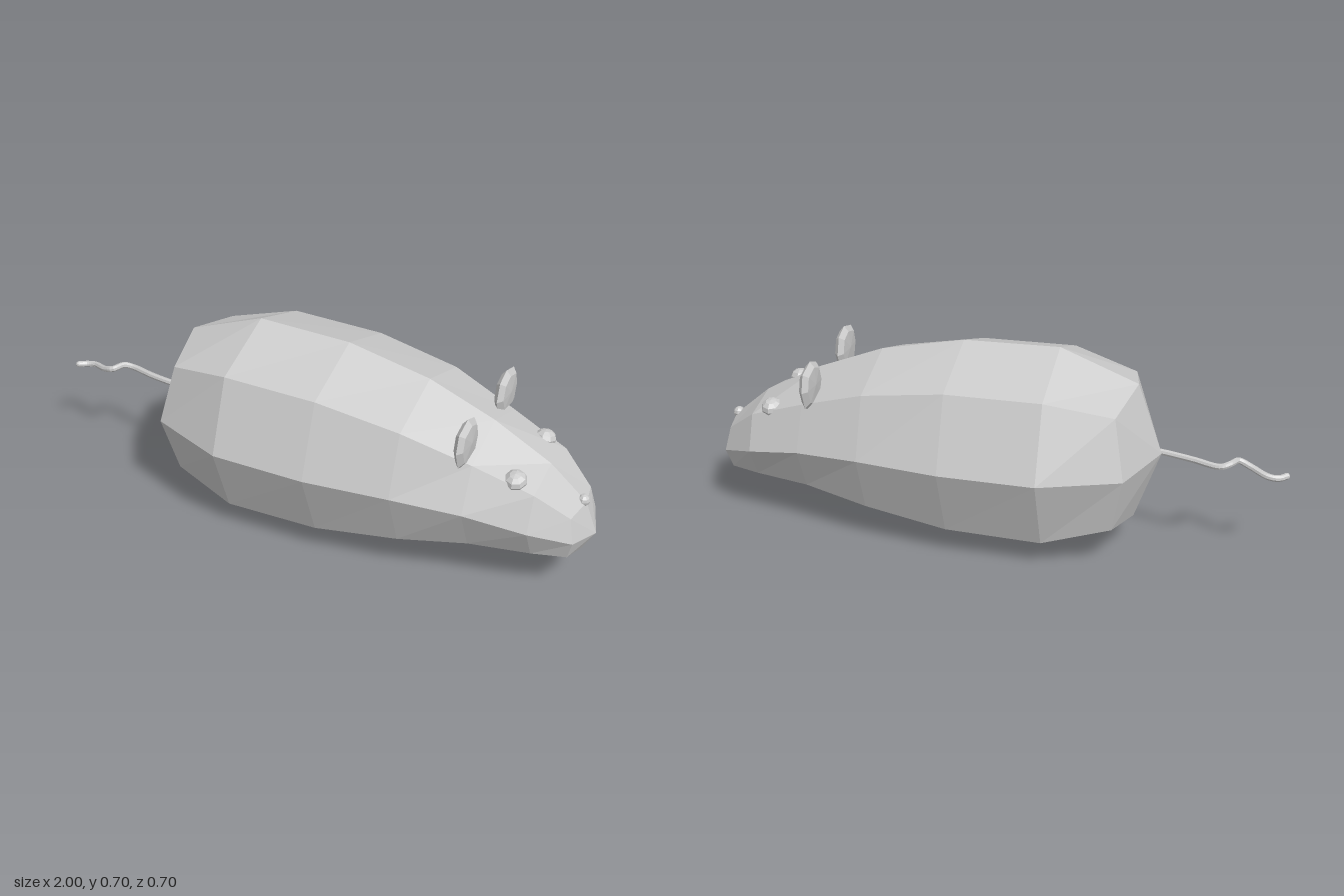
import * as THREE from 'three';

const material = new THREE.MeshStandardMaterial({ color: 0xcccccc, flatShading: true });

// Skin closed rings of [x, y, z] running towards +x, with a point at each end
function loft(rings, start, end) {
  const n = rings[0].length, tris = [];
  for (let j = 0; j < n; j++) {
    const k = (j + 1) % n;
    tris.push(start, rings[0][k], rings[0][j]);
    for (let i = 0; i < rings.length - 1; i++) {
      const a = rings[i], b = rings[i + 1];
      tris.push(a[j], a[k], b[j], a[k], b[k], b[j]);
    }
    const last = rings[rings.length - 1];
    tris.push(end, last[j], last[k]);
  }
  const geometry = new THREE.BufferGeometry();
  geometry.setAttribute('position', new THREE.Float32BufferAttribute(tris.flat(), 3));
  geometry.computeVertexNormals();
  return geometry;
}

// Mirrored eight-point section: x, top, upper (y, z), side (y, z), lower (y, z), bottom, corner x shift
function section([x, top, uy, uz, sy, sz, ly, lz, bottom, shift = 0]) {
  const c = x + shift;
  return [
    [x, top, 0], [c, uy, uz], [x, sy, sz], [c, ly, lz],
    [x, bottom, 0], [c, ly, -lz], [x, sy, -sz], [c, uy, -uz],
  ];
}

export function createModel() {
  const model = new THREE.Group();
  model.name = 'mouse';
  const add = (name, geometry, position = [0, 0, 0]) => {
    const mesh = new THREE.Mesh(geometry, material);
    mesh.name = name;
    mesh.position.set(...position);
    model.add(mesh);
    return mesh;
  };

  // Body, tapering from rump to snout
  const sections = [
    [-0.487, 0.597, 0.555, 0.2, 0.352, 0.245, 0.15, 0.2, 0.108, 0.04],
    [-0.22, 0.7, 0.605, 0.255, 0.352, 0.35, 0.098, 0.255, 0.003],
    [0.11, 0.692, 0.6, 0.253, 0.35, 0.348, 0.103, 0.253, 0.012],
    [0.4, 0.631, 0.553, 0.232, 0.346, 0.308, 0.14, 0.23, 0.068],
    [0.63, 0.54, 0.475, 0.188, 0.325, 0.257, 0.17, 0.186, 0.115],
    [0.83, 0.432, 0.4, 0.152, 0.278, 0.198, 0.167, 0.14, 0.121],
    [0.958, 0.322, 0.313, 0.1, 0.23, 0.117, 0.162, 0.1, 0.139, -0.018],
  ];
  add('body', loft(sections.map(section), [-0.573, 0.353, 0], [1, 0.213, 0]));

  // Ear outline as [y, z] around the ear centre, thinned towards both faces
  const outline = [
    [0.078, -0.005], [0.057, 0.065], [-0.003, 0.083], [-0.066, 0.06],
    [-0.076, 0.038], [-0.062, -0.057], [-0.006, -0.081], [0.056, -0.061],
  ];
  const earRing = (x, s, side) => {
    const ring = outline.map(([y, z]) => [x, y * s, z * s * side]);
    return side > 0 ? ring : ring.reverse();
  };
  for (const side of [1, -1]) {
    const label = side > 0 ? 'right' : 'left';
    const rings = [earRing(-0.016, 0.76, side), earRing(0, 1, side), earRing(0.016, 0.76, side)];
    add(label + 'Ear', loft(rings, [-0.021, 0, 0], [0.021, 0, 0]), [0.6, 0.549, side * 0.172]);

    const eye = add(label + 'Eye', new THREE.SphereGeometry(0.04, 8, 6), [0.76, 0.43, side * 0.137]);
    eye.scale.set(0.95, 0.75, 1);
    eye.rotation.x = side * 0.25;
  }

  // Nose
  add('nose', new THREE.SphereGeometry(0.021, 8, 6), [0.948, 0.327, 0]);

  // Wavy tail with a rounded tip
  const path = [
    [-0.55, 0.354, 0.015], [-0.6, 0.352, 0.008], [-0.68, 0.348, -0.008], [-0.775, 0.345, -0.032],
    [-0.805, 0.353, -0.018], [-0.828, 0.35, 0.02], [-0.87, 0.336, 0.012],
    [-0.93, 0.322, -0.018], [-0.965, 0.318, -0.014], [-0.989, 0.32, 0.006],
  ].map((p) => new THREE.Vector3(...p));
  add('tail', new THREE.TubeGeometry(new THREE.CatmullRomCurve3(path), 48, 0.011, 8));
  add('tailTip', new THREE.SphereGeometry(0.011, 8, 6), path[path.length - 1].toArray());

  return model;
}
